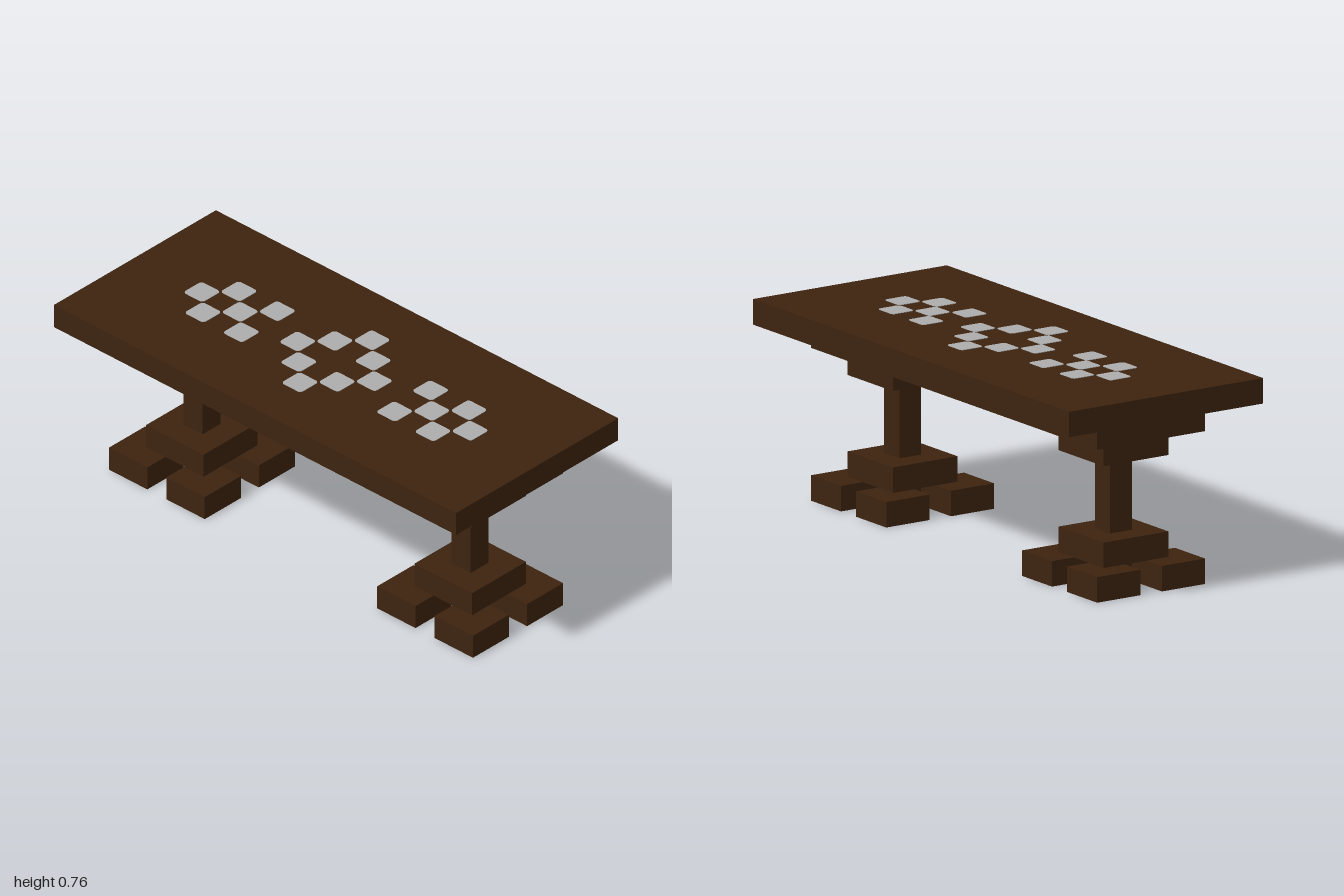
import * as THREE from 'three';

// The whole table sits on a square grid of this size
const U = 2 / 21;

const wood = new THREE.MeshStandardMaterial({ color: 0x3d230f });
wood.name = 'darkWood';
const stone = new THREE.MeshStandardMaterial({ color: 0xadadad });
stone.name = 'paleInlay';

// Box in grid units: size, then centre x, bottom y, centre z
function block(name, w, h, d, x, y, z) {
  const mesh = new THREE.Mesh(new THREE.BoxGeometry(w * U, h * U, d * U), wood);
  mesh.name = name;
  mesh.position.set(x * U, (y + h / 2) * U, z * U);
  return mesh;
}

// Thin tile with rounded corners, lying flat
function tileGeometry(size, r) {
  const a = size / 2;
  const c = a - r;
  const s = new THREE.Shape();
  s.absarc(c, c, r, 0, Math.PI / 2);
  s.absarc(-c, c, r, Math.PI / 2, Math.PI);
  s.absarc(-c, -c, r, Math.PI, Math.PI * 1.5);
  s.absarc(c, -c, r, Math.PI * 1.5, Math.PI * 2);
  s.closePath();
  const geo = new THREE.ExtrudeGeometry(s, { depth: 0.002, bevelEnabled: false, curveSegments: 4 });
  return geo.rotateX(-Math.PI / 2);
}

export function createModel() {
  const table = new THREE.Group();
  table.name = 'table';

  // Top and the narrower slab beneath it
  table.add(block('tableTop', 21, 1, 9, 0, 7, 0));
  table.add(block('underSlab', 19, 1, 5, 0, 6, 0));

  // Two pedestals, each on four feet
  for (const side of [-1, 1]) {
    const pedestal = new THREE.Group();
    pedestal.name = side > 0 ? 'leftPedestal' : 'rightPedestal';
    pedestal.position.x = side * 7 * U;
    pedestal.add(block('capital', 3, 1, 3, 0, 5, 0));
    pedestal.add(block('column', 1, 3, 1, 0, 2, 0));
    pedestal.add(block('base', 3, 1, 3, 0, 1, 0));
    for (const x of [-1.5, 1.5]) {
      for (const z of [-1.5, 1.5]) pedestal.add(block('foot', 2, 1, 2, x, 0, z));
    }
    table.add(pedestal);
  }

  // Inlay: a ring in the middle and a chequered figure towards each end
  const inlay = new THREE.Group();
  inlay.name = 'inlay';
  inlay.position.y = 8 * U;
  const cells = [[0, 2], [0, -2]];
  for (const s of [-1, 1]) {
    cells.push([s * 2, 0], [s * 5, 0], [s * 7, 0]);
    for (const x of [1, 4, 6]) cells.push([s * x, 1], [s * x, -1]);
  }
  const tile = tileGeometry(U * 1.01, 0.014);
  for (const [x, z] of cells) {
    const mesh = new THREE.Mesh(tile, stone);
    mesh.name = 'inlayTile';
    mesh.position.set(x * U, 0, z * U);
    inlay.add(mesh);
  }
  table.add(inlay);

  return table;
}
